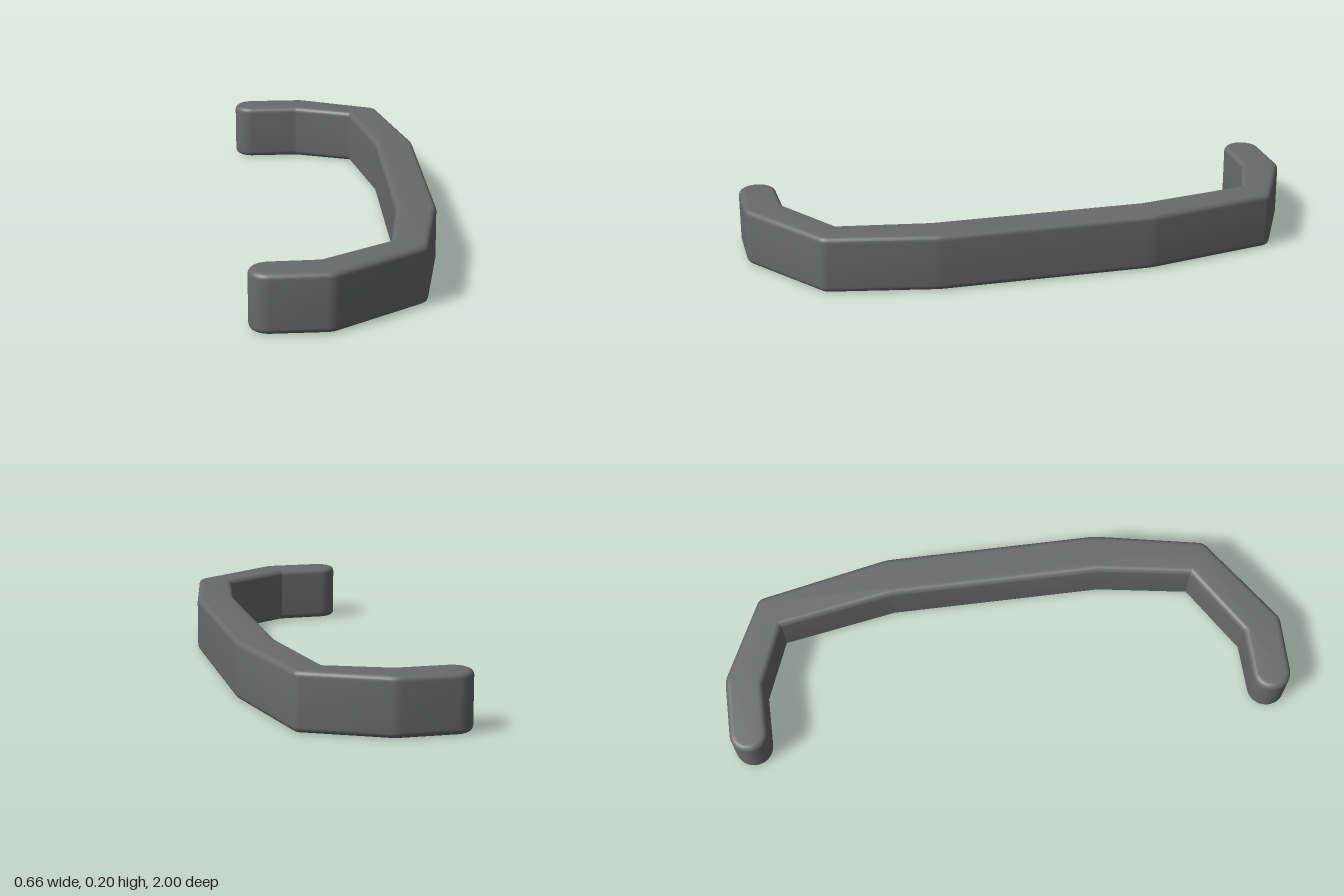
import * as THREE from 'three';
import { toCreasedNormals } from 'three/addons/utils/BufferGeometryUtils.js';

const HEIGHT = 0.203, BEVEL = 0.02, CAP = 0.067, FILLET = 0.02;

export function createModel() {
  const group = new THREE.Group();
  const material = new THREE.MeshStandardMaterial({ color: 0x696b6a });

  // Plan outline of the bent bar; shape y becomes -z
  const capFront = [-0.265, -0.933], capBack = [-0.265, 0.933];
  const outer = [[-0.265, -1], [-0.065, -0.998], [0.256, -0.772], [0.331, -0.38], [0.331, 0.385],
    [0.234, 0.857], [-0.06, 1], [-0.265, 1]].map(([x, y]) => new THREE.Vector2(x, y));
  const inner = [[-0.09, 0.867], [0.12, 0.785], [0.19, 0.38], [0.19, -0.38], [0.14, -0.705], [-0.1, -0.86]];
  const outline = new THREE.Shape();

  // Outer side, each bend slightly rounded
  const towards = (a, b) => b.clone().sub(a).setLength(FILLET).add(a);
  for (let i = 1; i < outer.length - 1; i++) {
    const corner = outer[i];
    const start = towards(corner, outer[i - 1]), end = towards(corner, outer[i + 1]);
    if (i === 1) outline.moveTo(start.x, start.y);
    else outline.lineTo(start.x, start.y);
    outline.quadraticCurveTo(corner.x, corner.y, end.x, end.y);
  }
  // Rounded back end, crisp inner side, rounded front end
  outline.absarc(...capBack, CAP, Math.PI / 2, Math.PI * 1.5, false);
  inner.forEach(([x, y]) => outline.lineTo(x, y));
  outline.absarc(...capFront, CAP, Math.PI / 2, Math.PI * 1.5, false);
  outline.closePath();

  // Extrude upwards with rounded top and bottom edges
  const geometry = new THREE.ExtrudeGeometry(outline, {
    depth: HEIGHT - 2 * BEVEL,
    curveSegments: 10,
    bevelThickness: BEVEL,
    bevelSize: BEVEL,
    bevelOffset: -BEVEL,
    bevelSegments: 10,
  });
  geometry.translate(0, 0, BEVEL);
  geometry.rotateX(-Math.PI / 2);

  const handle = new THREE.Mesh(toCreasedNormals(geometry, 0.18), material);
  handle.name = 'handleBar';
  group.add(handle);
  return group;
}
